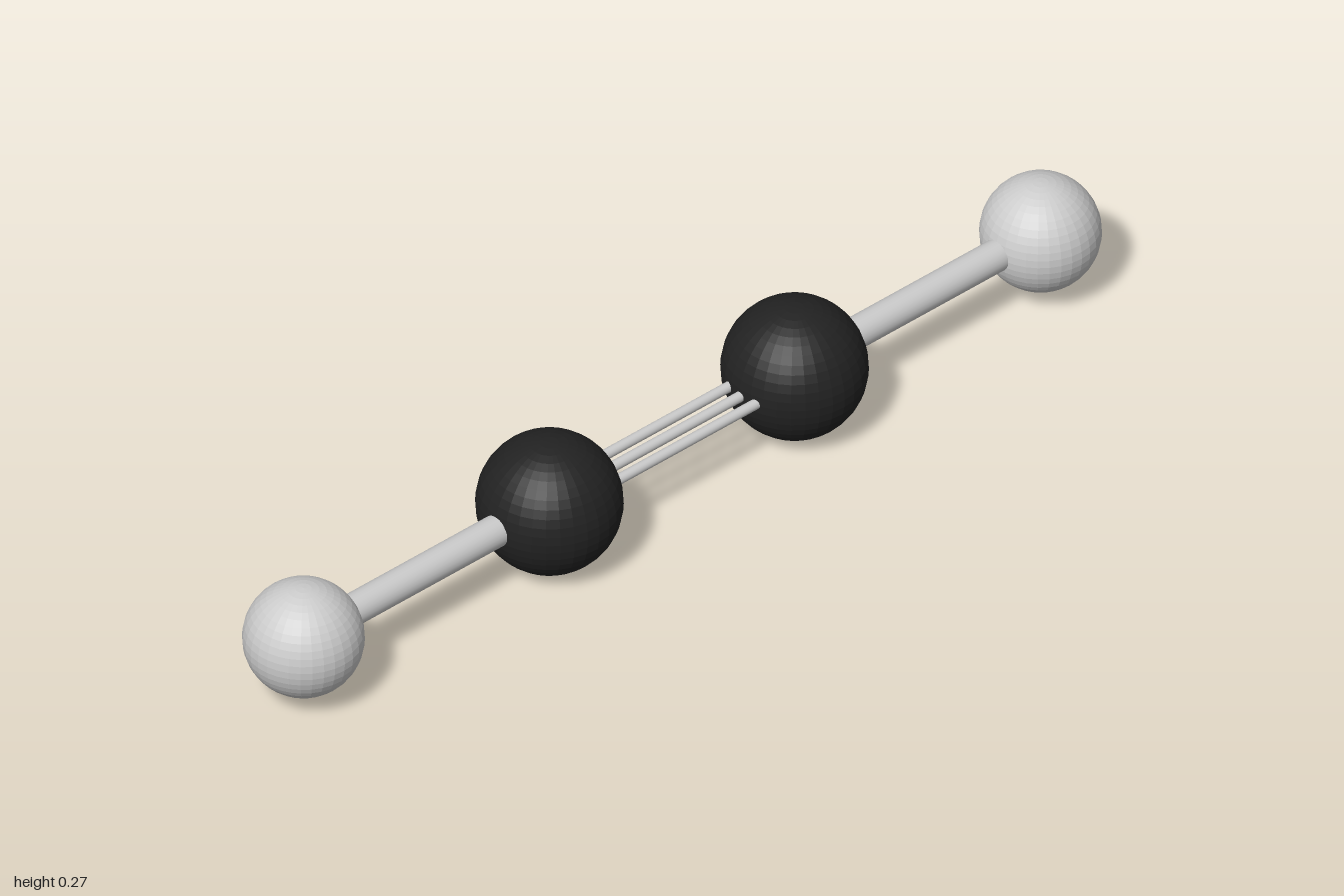
import * as THREE from 'three';

const Y = 0.134;              // height of the molecule's axis
const INNER_X = 0.296, INNER_R = 0.133;
const OUTER_X = 0.89, OUTER_R = 0.11;

export function createModel() {
  const group = new THREE.Group();
  const pale = new THREE.MeshStandardMaterial({ color: 0xcccccc, flatShading: true });
  const smoothPale = new THREE.MeshStandardMaterial({ color: 0xcccccc });
  const dark = new THREE.MeshStandardMaterial({ color: 0x222222, flatShading: true });

  const add = (name, geometry, material, x, z = 0) => {
    const mesh = new THREE.Mesh(geometry, material);
    mesh.name = name;
    mesh.position.set(x, Y, z);
    group.add(mesh);
  };

  // A rod lying along x
  const rod = (radius, length) =>
    new THREE.CylinderGeometry(radius, radius, length, 24).rotateZ(Math.PI / 2);

  const innerBall = new THREE.SphereGeometry(INNER_R, 32, 24);
  const outerBall = new THREE.SphereGeometry(OUTER_R, 32, 24);
  const singleBond = rod(0.03, OUTER_X - INNER_X);

  // Mirrored halves: dark inner atom, thick bond, pale outer atom
  for (const [side, s] of [['left', 1], ['right', -1]]) {
    add(`${side}CarbonAtom`, innerBall, dark, s * INNER_X);
    add(`${side}HydrogenAtom`, outerBall, pale, s * OUTER_X);
    add(`${side}SingleBond`, singleBond, smoothPale, s * (INNER_X + OUTER_X) / 2);
  }

  // Triple bond: three thin rods side by side across z
  const thinRod = rod(0.01, 2 * INNER_X);
  for (const i of [-1, 0, 1]) add(`tripleBondRod${i + 2}`, thinRod, smoothPale, 0, i * 0.035);

  return group;
}
